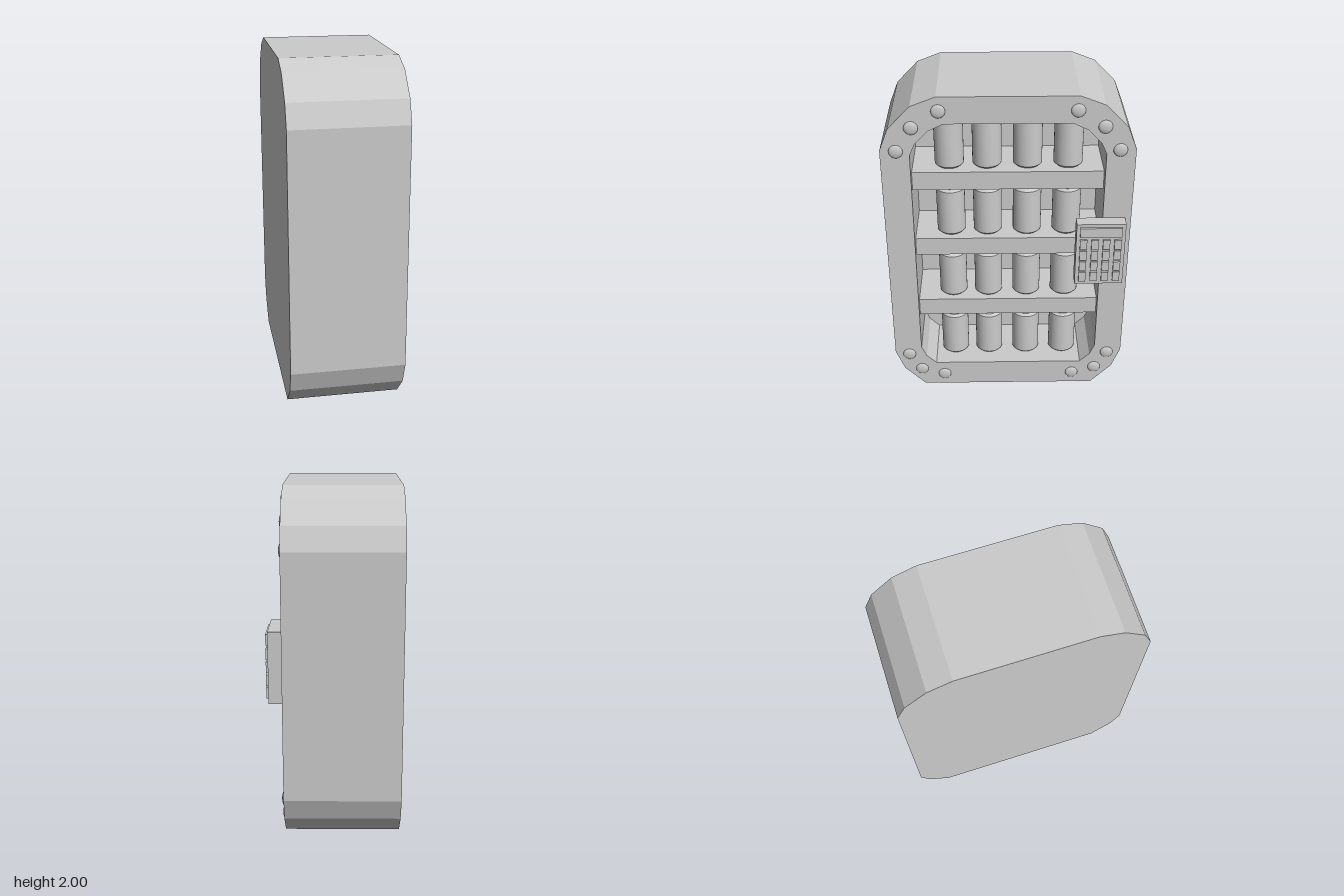
import * as THREE from 'three';
import { toCreasedNormals } from 'three/addons/utils/BufferGeometryUtils.js';

export function createModel() {
  const model = new THREE.Group();
  model.name = 'storageLocker';
  // Built facing local +z, then turned so the open side faces +x
  const locker = new THREE.Group();
  locker.name = 'locker';
  locker.rotation.y = Math.PI / 2;
  model.add(locker);

  const grey = new THREE.MeshStandardMaterial({ color: 0xcccccc });
  const add = (name, geometry, x, y, z, parent = locker) => {
    const mesh = new THREE.Mesh(geometry, grey);
    mesh.name = name;
    mesh.position.set(x, y, z);
    parent.add(mesh);
    return mesh;
  };
  const group = (name) => {
    const g = new THREE.Group();
    g.name = name;
    locker.add(g);
    return g;
  };
  // Right half of an outline, bottom to top, mirrored into a closed loop
  const mirrored = (half) => [
    ...half, ...half.slice().reverse().map(([x, y]) => [-x, y]),
  ].map(([x, y]) => new THREE.Vector2(x, y));

  const BACK = -0.38, WALL = -0.1, FRONT = 0.287;
  const outer = mirrored([[0.533, 0], [0.66, 0.13], [0.712, 0.263],
    [0.712, 1.68], [0.66, 1.813], [0.532, 1.945], [0.39, 2]]);
  const inner = mirrored([[0.457, 0.17], [0.517, 0.228], [0.547, 0.297],
    [0.547, 1.65], [0.517, 1.718], [0.438, 1.8], [0.353, 1.84]]);

  // Casing: solid back and a hollow front frame
  const extrude = (shape, depth) =>
    new THREE.ExtrudeGeometry(shape, { depth, bevelEnabled: false });
  add('casingBack', extrude(new THREE.Shape(outer), WALL - BACK), 0, 0, BACK);
  const frame = new THREE.Shape(outer);
  frame.holes.push(new THREE.Path(inner));
  add('casingFrame', extrude(frame, FRONT - WALL), 0, 0, WALL);

  // Shelves
  const shelfFront = 0.23;
  const shelfGeo = new THREE.BoxGeometry(1.096, 0.112, shelfFront - WALL);
  for (const top of [0.627, 1.071, 1.514]) {
    add('shelf', shelfGeo, 0, top - 0.056, (shelfFront + WALL) / 2);
  }

  // Canisters, four to each level
  const r = 0.084, h = 0.305, b = 0.014;
  const profile = [[0, 0], [r - b, 0], [r, b], [r, h - b], [r - b, h], [0, h]]
    .map(([x, y]) => new THREE.Vector2(x, y));
  const canGeo = toCreasedNormals(new THREE.LatheGeometry(profile, 32), 0.5);
  const canisters = group('canisters');
  for (const y of [0.17, 0.627, 1.071, 1.514]) {
    for (const x of [-0.337, -0.12, 0.114, 0.348]) {
      add('canister', canGeo, x, y, 0.115, canisters);
    }
  }

  // Domed rivets around the frame corners
  const rivetGeo = new THREE.SphereGeometry(0.04, 16, 12);
  const rivets = group('rivets');
  for (const [x, y] of [[0.38, 1.916], [0.532, 1.818], [0.623, 1.676],
    [0.625, 0.243], [0.55, 0.123], [0.407, 0.08]]) {
    for (const side of [-1, 1]) {
      add('rivet', rivetGeo, side * x, y, FRONT, rivets).scale.z = 0.33;
    }
  }

  // Keypad with display and a 4 x 4 block of keys
  const keypad = group('keypad');
  add('keypadBody', new THREE.BoxGeometry(0.284, 0.41, 0.077), 0.534, 1.035, 0.325, keypad);
  add('keypadDisplay', new THREE.BoxGeometry(0.242, 0.06, 0.024), 0.534, 1.19, 0.364, keypad);
  const keyGeo = new THREE.BoxGeometry(0.041, 0.063, 0.024);
  for (let row = 0; row < 4; row++) {
    for (let col = 0; col < 4; col++) {
      add('key', keyGeo, 0.434 + col * 0.0667, 1.108 - row * 0.074, 0.364, keypad);
    }
  }

  return model;
}
